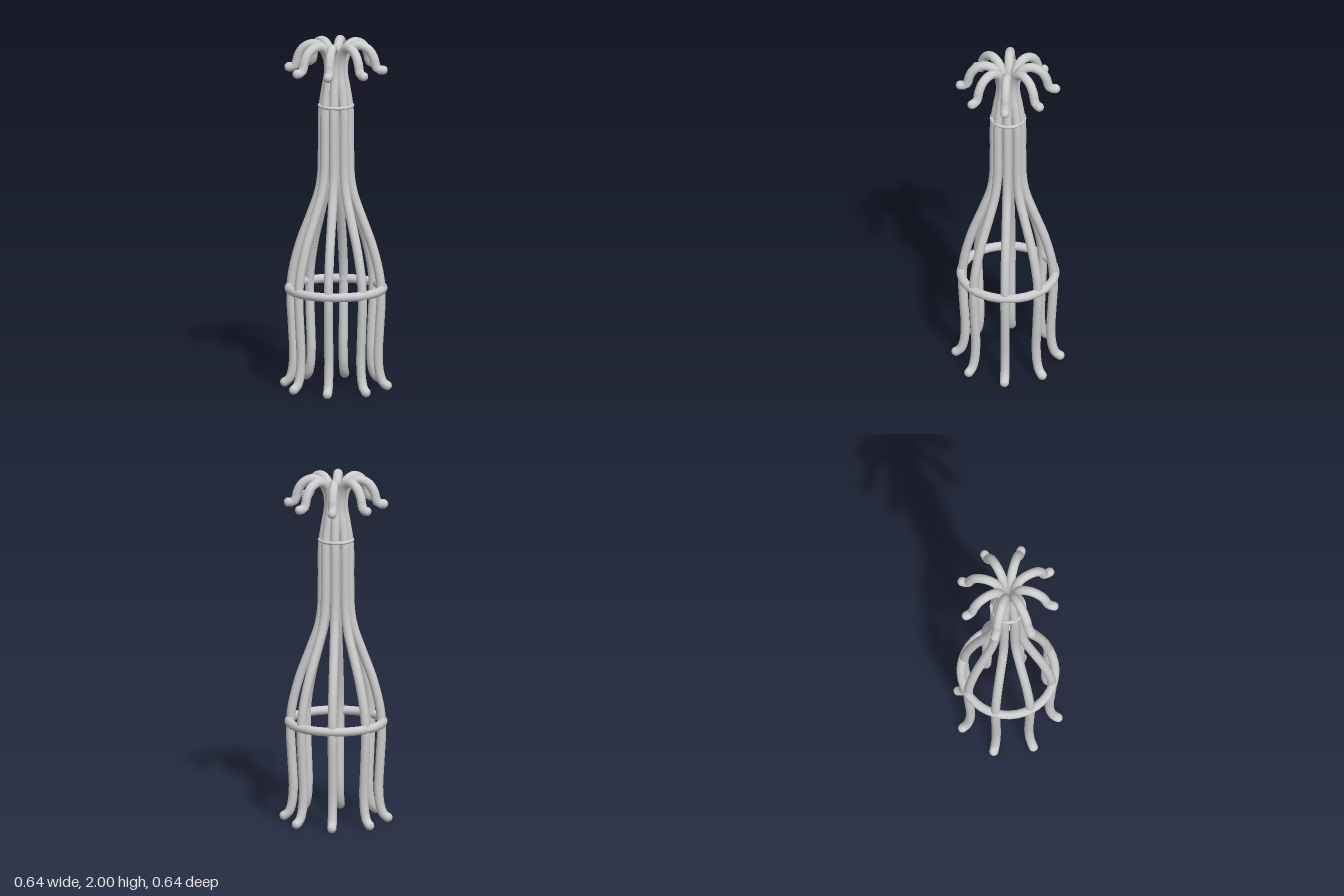
import * as THREE from 'three';

const ROD = 0.026;
const COUNT = 8;

// Rod centreline as [distance from axis, height], from foot to curled tip
const PROFILE = [
  [0.292, 0.027], [0.268, 0.045], [0.25, 0.09], [0.24, 0.19], [0.248, 0.36], [0.256, 0.52],
  [0.25, 0.64], [0.208, 0.82], [0.142, 1.0], [0.1, 1.12], [0.082, 1.22], [0.077, 1.4], [0.075, 1.6],
  [0.058, 1.72], [0.043, 1.81], [0.048, 1.89], [0.078, 1.953], [0.13, 1.974], [0.185, 1.95],
  [0.216, 1.9], [0.226, 1.86], [0.24, 1.839], [0.268, 1.836],
];

export function createModel() {
  const model = new THREE.Group();
  model.name = 'trellis';
  const material = new THREE.MeshStandardMaterial({ color: 0xcccccc });

  const add = (parent, name, geometry) => {
    const mesh = new THREE.Mesh(geometry, material);
    mesh.name = name;
    parent.add(mesh);
    return mesh;
  };

  // Bent rods with rounded ends, repeated around the axis
  const points = PROFILE.map(([r, y]) => new THREE.Vector3(r, y, 0));
  const rodGeometry = new THREE.TubeGeometry(new THREE.CatmullRomCurve3(points), 120, ROD, 14);
  const endGeometry = new THREE.SphereGeometry(ROD, 16, 12);
  for (let i = 0; i < COUNT; i++) {
    const bar = new THREE.Group();
    bar.name = 'bar' + (i + 1);
    bar.rotation.y = (i / COUNT) * Math.PI * 2;
    add(bar, 'rod', rodGeometry);
    add(bar, 'footEnd', endGeometry).position.copy(points[0]);
    add(bar, 'tipEnd', endGeometry).position.copy(points[points.length - 1]);
    model.add(bar);
  }

  // Horizontal hoops tying the rods together
  const hoop = (name, radius, tube, y) => {
    const geometry = new THREE.TorusGeometry(radius, tube, 14, 40).rotateX(Math.PI / 2);
    add(model, name, geometry).position.y = y;
  };
  hoop('lowerHoop', 0.264, 0.025, 0.577);
  hoop('upperHoop', 0.093, 0.01, 1.625);

  return model;
}
